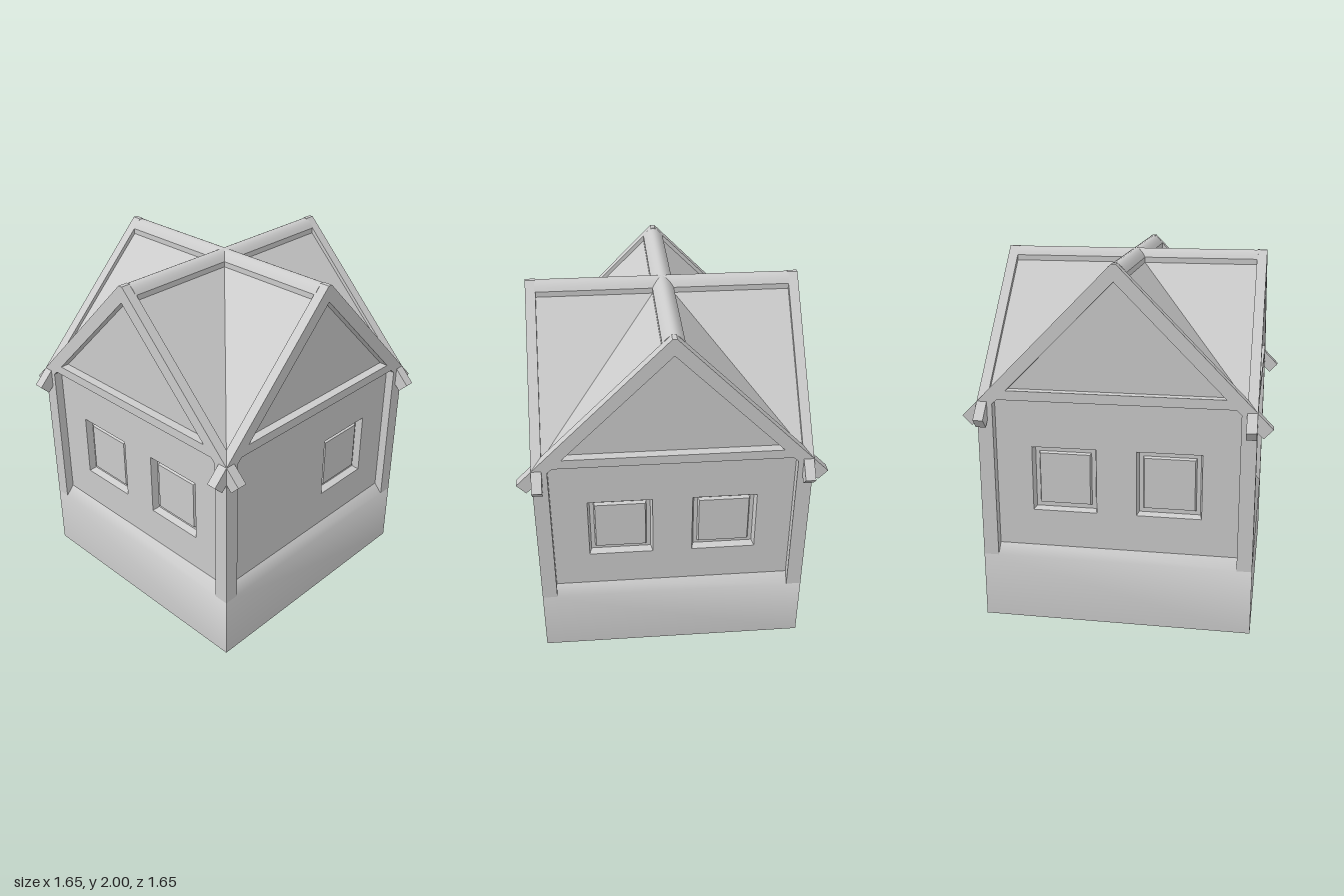
import * as THREE from 'three';
import { toCreasedNormals } from 'three/addons/utils/BufferGeometryUtils.js';

const HALF = 0.745;   // outer half width
const WALL = 0.695;   // half width at the recessed walls
const RIDGE = 1.98;   // height of the roof planes at the ridge
const material = new THREE.MeshStandardMaterial({ color: 0xcccccc, side: THREE.DoubleSide });

function add(parent, name, geometry, x = 0, y = 0, z = 0) {
  const mesh = new THREE.Mesh(geometry, material);
  mesh.name = name;
  mesh.position.set(x, y, z);
  parent.add(mesh);
  return mesh;
}

const polygon = (pts) => new THREE.Shape(pts.map(([x, y]) => new THREE.Vector2(x, y)));
const mirrored = (pts) => [...pts, ...pts.map(([x, y]) => [-x, y]).reverse()];
const rect = (cx, cy, w, h) => polygon([
  [cx - w / 2, cy - h / 2], [cx + w / 2, cy - h / 2],
  [cx + w / 2, cy + h / 2], [cx - w / 2, cy + h / 2],
]);
const extrude = (shape, depth) =>
  new THREE.ExtrudeGeometry(shape, { depth, bevelEnabled: false, curveSegments: 10 });

// Square tube from a profile of half widths and heights
function squareLoft(profile) {
  const pts = profile.map(([r, y]) => new THREE.Vector2(r * Math.SQRT2, y));
  return new THREE.LatheGeometry(pts, 4, Math.PI / 4).toNonIndexed();
}

// Window: tapered reveal, flat sash and a slightly raised pane
function makeWindow(x) {
  const g = new THREE.Group();
  g.name = 'window';
  g.position.set(x, 0.817, WALL);
  const reveal = squareLoft([[0.5, 0], [0.47, -0.04]]);
  reveal.rotateX(Math.PI / 2);
  reveal.scale(0.355, 0.365, 1);
  reveal.computeVertexNormals();
  add(g, 'windowReveal', reveal);
  add(g, 'windowSash', new THREE.PlaneGeometry(0.335, 0.345), 0, 0, -0.04);
  const pane = squareLoft([[0.5, 0], [0.475, 0.018]]);
  pane.rotateX(Math.PI / 2);
  pane.scale(0.29, 0.30, 1);
  pane.computeVertexNormals();
  add(g, 'paneEdge', pane, 0, 0, -0.04);
  add(g, 'windowPane', new THREE.PlaneGeometry(0.276, 0.285), 0, 0, -0.022);
  return g;
}

// One gabled side, facing +z
function makeSide(windowXs) {
  const side = new THREE.Group();

  // Recessed wall and gable panel with window openings
  const wall = polygon([[-WALL, 0.41], [WALL, 0.41], [WALL, 1.27], [0, 1.96], [-WALL, 1.27]]);
  for (const x of windowXs) {
    wall.holes.push(rect(x, 0.817, 0.355, 0.365));
    side.add(makeWindow(x));
  }
  add(side, 'wall', new THREE.ShapeGeometry(wall), 0, 0, WALL);

  // Timber frame: posts, tie beam and sloping boards with overhanging tips
  const frame = polygon(mirrored([
    [0.012, 2], [0.827, 1.175], [0.777, 1.123], [HALF, 1.155], [HALF, 0.37],
    [0.662, 0.37], [0.662, 1.245], [0.635, 1.27],
  ]));
  frame.holes.push(polygon([[-0.585, 1.322], [0.585, 1.322], [0, 1.91]]));
  add(side, 'timberFrame', extrude(frame, 0.055), 0, 0, HALF - 0.055);

  // Two roof planes, each running from the ridge to a diagonal valley
  const e = 0.725;
  for (const s of [-1, 1]) {
    const roof = new THREE.BufferGeometry();
    const pts = [[0, RIDGE, 0], [0, RIDGE, e], [s * e, RIDGE - e, e]];
    if (s < 0) pts.reverse();
    roof.setAttribute('position', new THREE.Float32BufferAttribute(pts.flat(), 3));
    roof.computeVertexNormals();
    add(side, 'roofPlane', roof);
  }

  // Rounded ridge cap
  const cap = polygon([[-0.058, 1.9], [0.058, 1.9]]);
  cap.lineTo(0.058, 1.952);
  cap.quadraticCurveTo(0, 2.044, -0.058, 1.952);
  add(side, 'ridgeCap', toCreasedNormals(extrude(cap, 0.695), 0.6));
  return side;
}

export function createModel() {
  const house = new THREE.Group();
  house.name = 'house';

  // Plinth with a sloping sill on top, open underneath
  add(house, 'plinth', toCreasedNormals(
    squareLoft([[HALF, 0], [HALF, 0.37], [WALL, 0.425]]), 0.9));

  // Four sides; only the front has a single window
  ['front', 'right', 'back', 'left'].forEach((name, i) => {
    const side = makeSide(i === 0 ? [0.282] : [-0.287, 0.287]);
    side.name = name + 'Side';
    side.rotation.y = i * Math.PI / 2;
    house.add(side);
  });
  house.position.set(-0.004, 0, -0.006);

  const model = new THREE.Group();
  model.add(house);
  return model;
}
